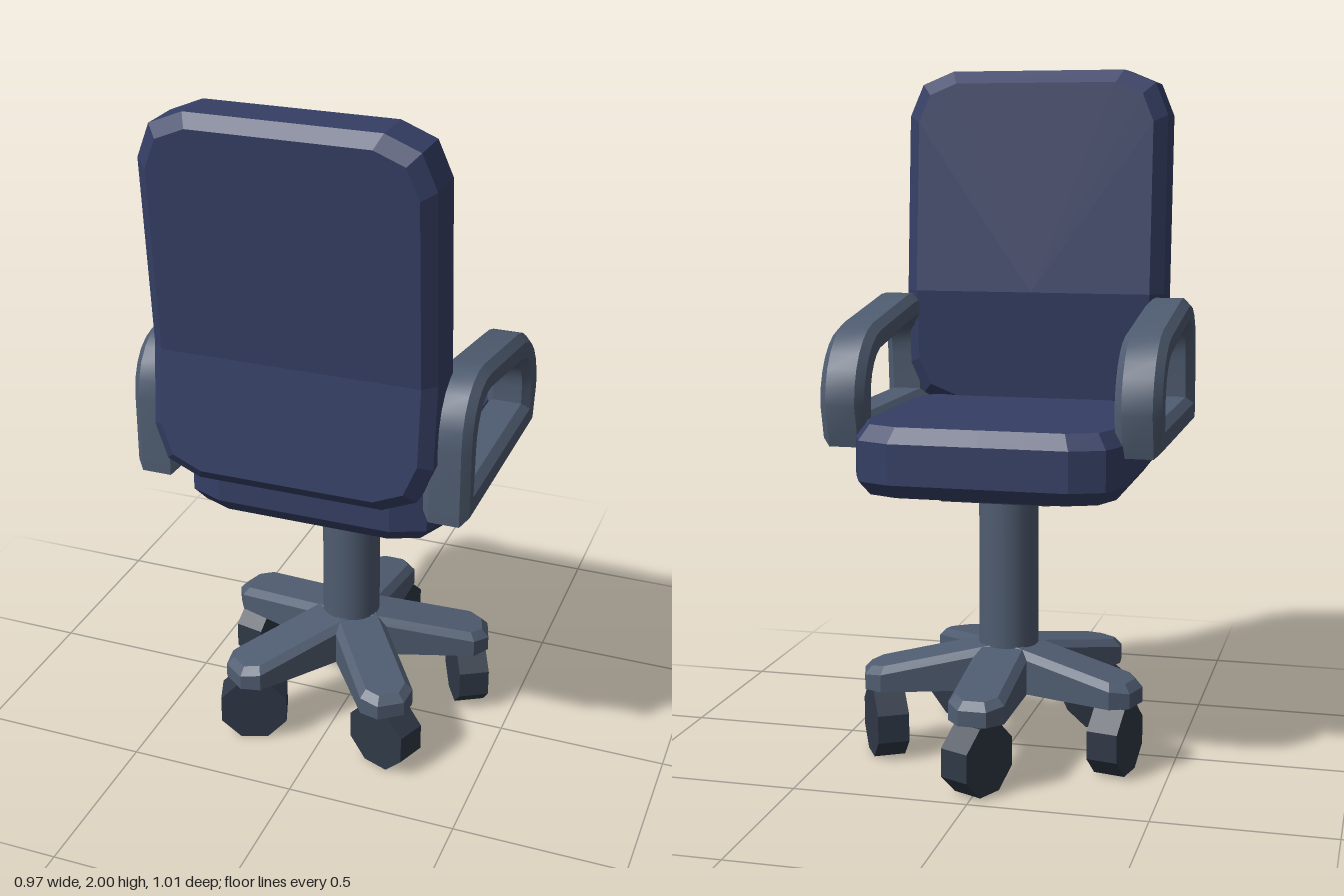
import * as THREE from 'three';
import { toCreasedNormals } from 'three/addons/utils/BufferGeometryUtils.js';

const fabric = new THREE.MeshStandardMaterial({ color: 0x353f65, flatShading: true });
const frame = new THREE.MeshStandardMaterial({ color: 0x4f5c70, flatShading: true });
const frameSmooth = new THREE.MeshStandardMaterial({ color: 0x4f5c70 });
const rubber = new THREE.MeshStandardMaterial({ color: 0x303947, flatShading: true });

const V = (x, y, z) => new THREE.Vector3(x, y, z);
const BASE_Z = -0.02;

function add(parent, name, geometry, material) {
  const mesh = new THREE.Mesh(geometry, material);
  mesh.name = name;
  parent.add(mesh);
  return mesh;
}

// Skin a stack of equal-length rings and cap both ends with a fan
function loft(rings) {
  const pos = [];
  const tri = (...pts) => pts.forEach((p) => pos.push(p.x, p.y, p.z));
  const n = rings[0].length;
  const middle = (ring) => ring[0].clone().lerp(ring[n / 2], 0.5);
  const last = rings[rings.length - 1];
  for (let j = 0; j < n; j++) {
    const k = (j + 1) % n;
    for (let i = 0; i < rings.length - 1; i++) {
      const a = rings[i], b = rings[i + 1];
      tri(a[j], a[k], b[k]);
      tri(a[j], b[k], b[j]);
    }
    tri(middle(rings[0]), rings[0][k], rings[0][j]);
    tri(middle(last), last[j], last[k]);
  }
  const geo = new THREE.BufferGeometry();
  geo.setAttribute('position', new THREE.Float32BufferAttribute(pos, 3));
  geo.computeVertexNormals();
  return geo;
}

// Counter-clockwise rounded rectangle; mid shifts the extra point on both sides
function roundRect(hu, hv, r, mid = 0) {
  const pts = [[hu, mid]];
  for (let q = 0; q < 4; q++) {
    const su = q === 0 || q === 3 ? 1 : -1, sv = q < 2 ? 1 : -1;
    for (let s = 0; s <= 2; s++) {
      const a = ((q + s / 2) * Math.PI) / 2;
      pts.push([su * (hu - r) + r * Math.cos(a), sv * (hv - r) + r * Math.sin(a)]);
    }
    if (q === 1) pts.push([-hu, mid]);
  }
  return pts;
}

function seatGeometry() {
  const levels = [[0.81, 0.03], [0.85, 0], [0.965, 0], [1.008, 0.03]];
  return loft(levels.map(([y, inset]) =>
    roundRect(0.38 - inset, 0.388 - inset, 0.135 - inset / 2).map(([z, x]) => V(x, y, z - 0.01))));
}

function backrestGeometry() {
  const cy = 1.485, bend = 1.335;
  // Lean of the panel above and below the bend
  const lean = (y) => 0.358 + (y > bend ? (y - bend) * 0.077 : (bend - y) * 0.108);
  const layers = [[-0.098, 0.038], [-0.06, 0], [0.065, 0], [0.098, 0.035]];
  return loft(layers.map(([dz, inset]) =>
    roundRect(0.4 - inset, 0.515 - inset, 0.135 - inset / 2, bend - cy)
      .map(([x, v]) => V(x, cy + v, lean(cy + v) + dz))));
}

// Closed loop with a flat foot, sloping top and rounded ends
function armrestGeometry() {
  const shape = new THREE.Shape();
  shape.moveTo(0.415, 0.93);
  shape.lineTo(0.415, 1.15);
  shape.bezierCurveTo(0.415, 1.27, 0.33, 1.34, 0.225, 1.325);
  shape.lineTo(-0.12, 1.27);
  shape.bezierCurveTo(-0.22, 1.25, -0.295, 1.16, -0.295, 1.05);
  shape.lineTo(-0.265, 0.93);
  const hole = new THREE.Path();
  hole.moveTo(0.34, 1.02);
  hole.lineTo(-0.19, 1.02);
  hole.lineTo(-0.19, 1.07);
  hole.bezierCurveTo(-0.19, 1.13, -0.15, 1.175, -0.09, 1.185);
  hole.lineTo(0.225, 1.24);
  hole.bezierCurveTo(0.29, 1.25, 0.33, 1.2, 0.332, 1.13);
  shape.holes.push(hole);
  const geo = new THREE.ExtrudeGeometry(shape, {
    depth: 0.086, curveSegments: 6,
    bevelThickness: 0.022, bevelSize: 0.022, bevelOffset: -0.022, bevelSegments: 1,
  });
  geo.translate(0, 0, -0.043);
  geo.rotateY(-Math.PI / 2);
  return toCreasedNormals(geo, 0.5);
}

// One sloping leg of the star, pointing along +z
function legGeometry() {
  const outline = (i) => [
    [0, -0.08 + i], [0.38 - i / 2, -0.08 + i], [0.425 - i, -0.04 + i / 2],
    [0.425 - i, 0.04 - i / 2], [0.38 - i / 2, 0.08 - i], [0, 0.08 - i],
  ];
  const top = (r) => 0.34 - 0.18 * r;
  const ring = (inset, y) => outline(inset).map(([z, x]) => V(x, y(z), z));
  return loft([ring(0, () => 0.2), ring(0, (r) => top(r) - 0.02), ring(0.02, top)]);
}

export function createModel() {
  const chair = new THREE.Group();
  chair.name = 'officeChair';

  add(chair, 'seat', seatGeometry(), fabric);
  add(chair, 'backrest', backrestGeometry(), fabric);

  const arm = armrestGeometry();
  for (const side of [1, -1]) {
    add(chair, side > 0 ? 'leftArmrest' : 'rightArmrest', arm, frameSmooth).position.x = side * 0.421;
  }

  // Support under the seat
  const plate = [[0.77, 0.012], [0.785, 0], [0.815, 0]].map(([y, i]) =>
    [[1, -1], [1, 1], [-1, 1], [-1, -1]].map(([z, x]) => V(x * (0.17 - i), y, z * (0.17 - i))));
  add(chair, 'seatPlate', loft(plate), frame).position.z = BASE_Z - 0.005;
  add(chair, 'column', new THREE.CylinderGeometry(0.087, 0.087, 0.57, 24), frameSmooth)
    .position.set(0, 0.49, BASE_Z);

  // Five-legged star with freely swivelled wheels
  const leg = legGeometry();
  const wheel = new THREE.CylinderGeometry(0.1065, 0.1065, 0.092, 8, 1, false, Math.PI / 8);
  wheel.rotateZ(Math.PI / 2);
  [25, 12, 70, 111, -30].forEach((swivel, i) => {
    const angle = Math.PI + (i * Math.PI * 2) / 5;
    const legMesh = add(chair, `baseLeg${i + 1}`, leg, frame);
    legMesh.position.z = BASE_Z;
    legMesh.rotation.y = angle;
    const wheelMesh = add(chair, `wheel${i + 1}`, wheel, rubber);
    wheelMesh.position.set(Math.sin(angle) * 0.36, 0.0985, BASE_Z - 0.012 + Math.cos(angle) * 0.36);
    wheelMesh.rotation.y = -THREE.MathUtils.degToRad(swivel);
  });

  return chair;
}
